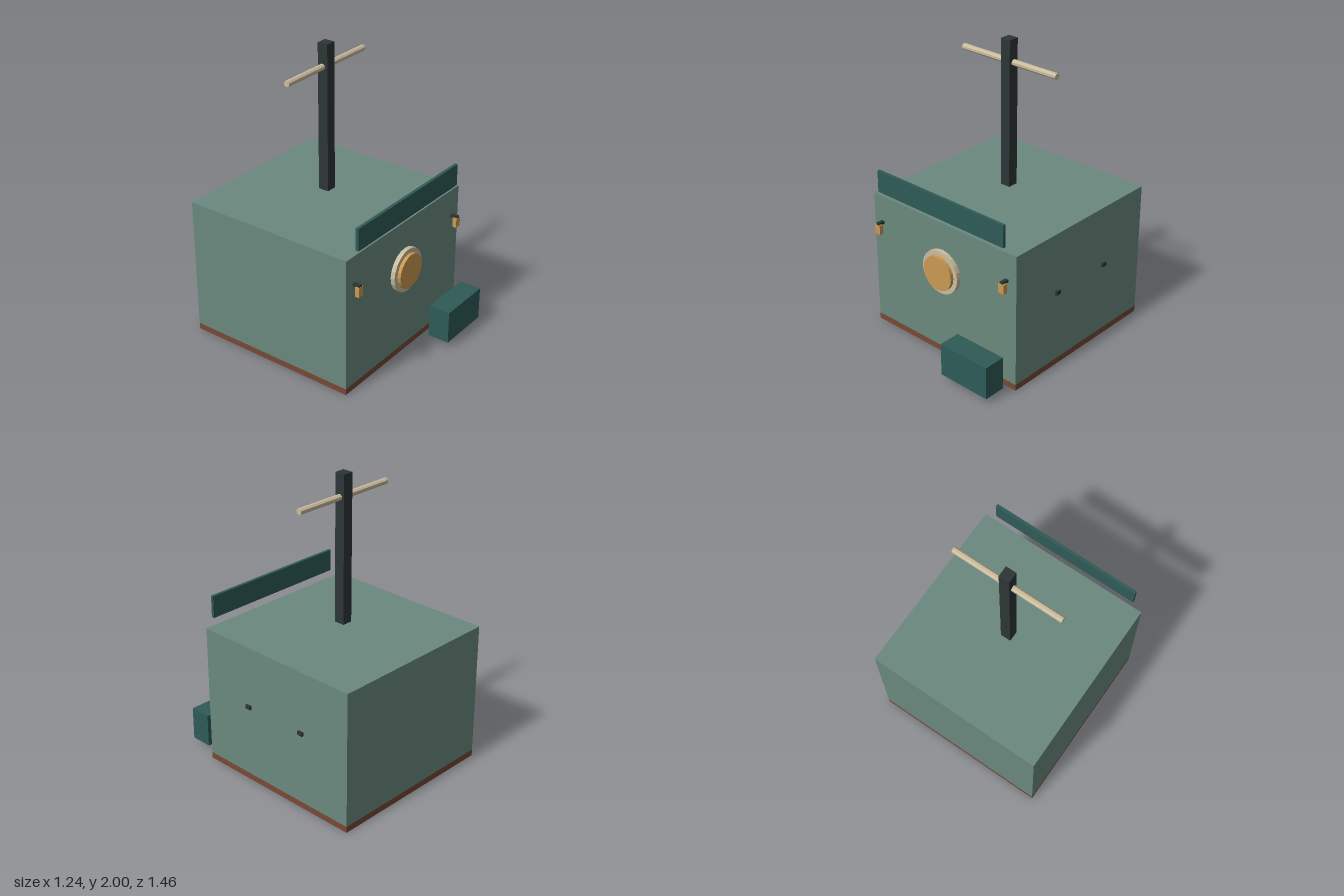
import * as THREE from 'three';

const material = (name, color, flatShading = false) => {
  const m = new THREE.MeshStandardMaterial({ color, flatShading });
  m.name = name;
  return m;
};

export function createModel() {
  const model = new THREE.Group();
  model.name = 'cabin';

  const sage = material('sage green', 0x6b897e);
  const teal = material('dark teal', 0x2e5b58);
  const iron = material('dark iron', 0x2d3536);
  const wood = material('brown wood', 0x774936);
  const amber = material('amber', 0xcb9952, true);
  const cream = material('cream', 0xcabc9d, true);

  const add = (name, geometry, mat) => {
    const mesh = new THREE.Mesh(geometry, mat);
    mesh.name = name;
    model.add(mesh);
    return mesh;
  };

  // Box given by its extents on each axis
  const box = (name, mat, [x0, x1], [y0, y1], [z0, z1]) => {
    const mesh = add(name, new THREE.BoxGeometry(x1 - x0, y1 - y0, z1 - z0), mat);
    mesh.position.set((x0 + x1) / 2, (y0 + y1) / 2, (z0 + z1) / 2);
    return mesh;
  };

  const cx = -0.009; // shared centre line

  // Main body on its base slab
  box('base', wood, [-0.622, 0.604], [0, 0.043], [-0.728, 0.502]);
  box('body', sage, [-0.622, 0.604], [0.043, 0.961], [-0.728, 0.502]);

  // Board above the front and step at the front corner
  box('signBoard', teal, [-0.545, 0.527], [1.004, 1.155], [0.513, 0.534]);
  box('step', teal, [0.185, 0.567], [0.043, 0.271], [0.579, 0.73]);

  // Mast with an eight-sided crossbar
  box('mast', iron, [cx - 0.036, cx + 0.036], [1.004, 2], [-0.15, -0.077]);
  const bar = new THREE.CylinderGeometry(0.0205, 0.0205, 0.766, 8);
  bar.rotateY(Math.PI / 8).rotateZ(Math.PI / 2);
  add('crossbar', bar, cream).position.set(cx, 1.849, -0.114);

  // Round window: outer rim and raised pane
  const disc = (name, mat, radius, z0, z1) => {
    const geometry = new THREE.CylinderGeometry(radius, radius, z1 - z0, 20);
    geometry.rotateX(Math.PI / 2);
    add(name, geometry, mat).position.set(cx, 0.621, (z0 + z1) / 2);
  };
  disc('windowRim', cream, 0.151, 0.498, 0.532);
  disc('windowPane', amber, 0.119, 0.52, 0.555);

  // Pair of lanterns hanging from brackets
  for (const [side, s] of [['left', 1], ['right', -1]]) {
    const x = cx + s * 0.538;
    box(side + 'LanternBracket', iron, [x - 0.012, x + 0.012], [0.763, 0.782], [0.503, 0.554]);
    box(side + 'Lantern', amber, [x - 0.022, x + 0.022], [0.703, 0.769], [0.528, 0.556]);
  }

  // Small fittings on the left wall
  for (const z of [0.117, -0.345]) {
    box('wallFitting', iron, [0.6, 0.618], [0.529, 0.556], [z - 0.019, z + 0.019]);
  }

  return model;
}
